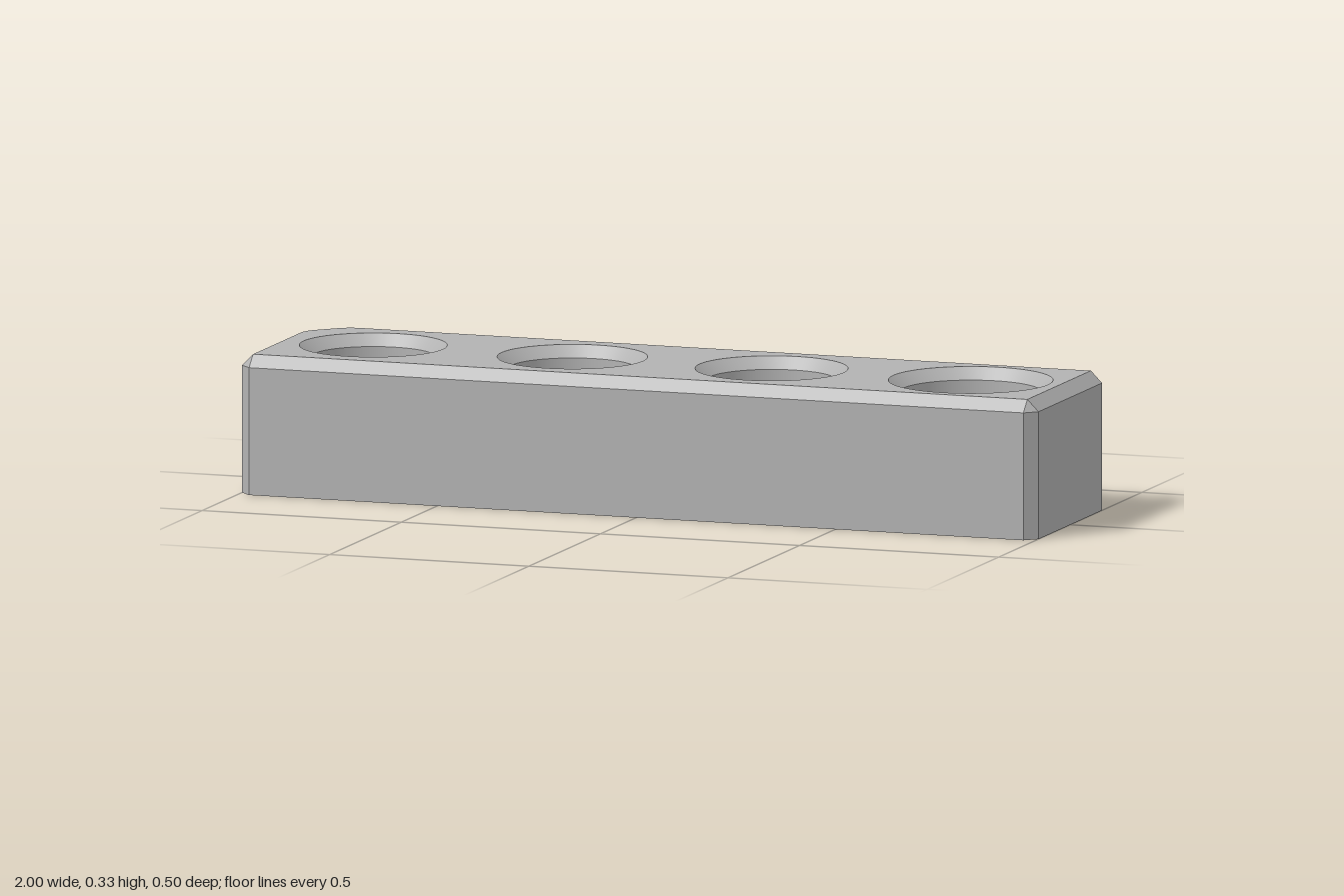
import * as THREE from 'three';
import { toCreasedNormals, mergeVertices } from 'three/addons/utils/BufferGeometryUtils.js';

const HEIGHT = 0.333, HALF_X = 1, HALF_Z = 0.25;
const BEVEL = 0.028, FLOOR = 0.056;
const HOLES = [[-0.75, 0.147], [-0.25, 0.15], [0.25, 0.153], [0.75, 0.167]];

// Plan outline (x, -z), counter-clockwise; inset pulls it in for the bevelled top.
function outline(inset) {
  const x = HALF_X - inset, v = HALF_Z - inset, c = BEVEL - inset;
  const pts = [
    [-x, -v + c], [-x + c, -v],
    [x - c, -v], [x, -v + c],
    [x, v - c], [x - c, v],
  ];
  // large rear corner: two 45 degree arcs joined by a straight
  const r = 0.097, steps = 8;
  const arc = (cx, cv, start) => {
    for (let i = 0; i <= steps; i++) {
      const a = start + (i / steps) * Math.PI / 4;
      pts.push([cx + (r - inset) * Math.cos(a), cv + (r - inset) * Math.sin(a)]);
    }
  };
  arc(-0.862, HALF_Z - r, Math.PI / 2);
  arc(-HALF_X + r, 0.112, Math.PI * 0.75);
  return pts.map(([px, pv]) => new THREE.Vector2(px, pv));
}

// Band of faces joining two matching outlines at two heights.
function band(lower, y0, upper, y1) {
  const pos = [];
  const put = (p, y) => pos.push(p.x, y, -p.y);
  lower.forEach((a, i) => {
    const j = (i + 1) % lower.length;
    const b = lower[j], c = upper[j], d = upper[i];
    put(a, y0); put(b, y0); put(c, y1);
    if (c.distanceTo(d) > 1e-6) { put(a, y0); put(c, y1); put(d, y1); }
  });
  const g = new THREE.BufferGeometry();
  g.setAttribute('position', new THREE.Float32BufferAttribute(pos, 3));
  return toCreasedNormals(mergeVertices(g), 0.4);
}

export function createModel() {
  const group = new THREE.Group();
  const grey = new THREE.MeshStandardMaterial({ color: 0xb2b2b2 });
  grey.name = 'plain grey';
  const add = (name, geometry) => {
    const mesh = new THREE.Mesh(geometry, grey);
    mesh.name = name;
    group.add(mesh);
    return mesh;
  };

  const outer = outline(0);
  const inner = outline(BEVEL);

  // Block sides and bevelled upper edge
  add('sideWalls', band(outer, 0, outer, HEIGHT - BEVEL));
  add('topBevel', band(outer, HEIGHT - BEVEL, inner, HEIGHT));

  // Underside
  add('underside', new THREE.ShapeGeometry(new THREE.Shape(outer)).rotateX(Math.PI / 2).scale(1, 1, 1))
    .geometry.copy(new THREE.ShapeGeometry(new THREE.Shape(outer.map(p => new THREE.Vector2(p.x, -p.y)).reverse())).rotateX(Math.PI / 2));

  // Top face pierced by the four sockets
  const top = new THREE.Shape(inner.filter((p, i) => p.distanceTo(inner[(i + 1) % inner.length]) > 1e-6));
  for (const [x, r] of HOLES) {
    top.holes.push(new THREE.Path().absarc(x, 0, r + BEVEL, 0, Math.PI * 2, true));
  }
  add('topFace', new THREE.ShapeGeometry(top, 32).rotateX(-Math.PI / 2).translate(0, HEIGHT, 0));

  // Blind sockets with countersunk rims, each a little wider than the last
  HOLES.forEach(([x, r], i) => {
    const profile = [[r + BEVEL, HEIGHT], [r, HEIGHT - BEVEL], [r, FLOOR], [0, FLOOR]]
      .map(([px, py]) => new THREE.Vector2(px, py));
    const socket = add(`socket${i + 1}`, toCreasedNormals(new THREE.LatheGeometry(profile, 64), 0.4));
    socket.position.x = x;
  });
  return group;
}
